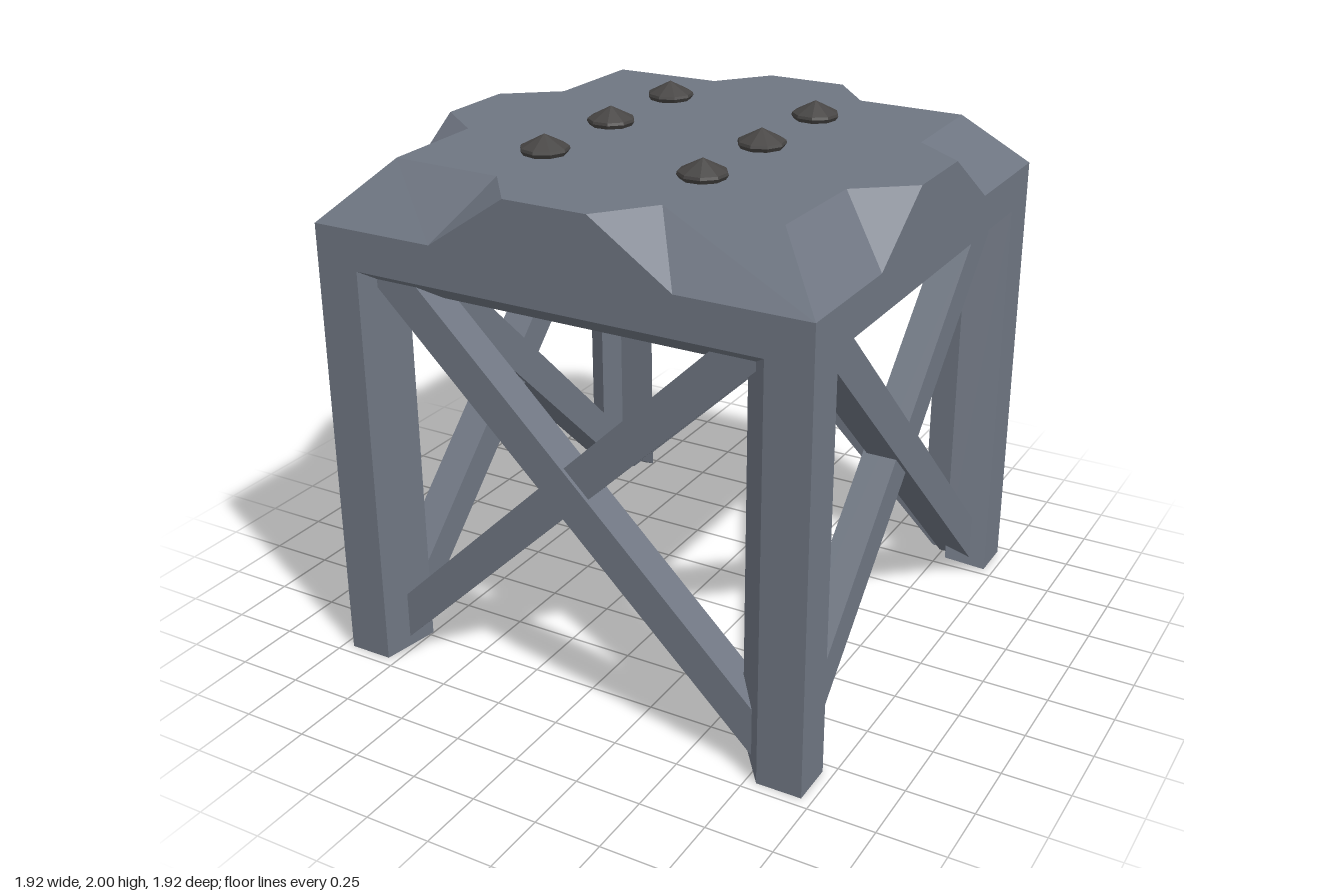
import * as THREE from 'three';

const bodyMat = new THREE.MeshStandardMaterial({ color: 0x6f7682, flatShading: true });
const boltMat = new THREE.MeshStandardMaterial({ color: 0x474544, flatShading: true });

// Outer and inner skins of the hollow frame
const OUTER = { half: 0.96, foot: 0, legX: 0.79, rail: 1.57, eave: 1.72, top: 1.93,
  notchOut: 0.47, notchIn: 0.16, crest: [0.32, 0.76], hip: 0.75, sign: 1 };
const INNER = { half: 0.83, foot: 0.08, legX: 0.67, rail: 1.48, eave: 1.59, top: 1.8,
  notchOut: 0.42, notchIn: 0.14, crest: [0.29, 0.66], hip: 0.65, sign: -1 };

// Adds a polygon as triangles that face along the hint direction
function addFace(out, pts, hint) {
  const v = pts.map(p => new THREE.Vector3(...p));
  const h = new THREE.Vector3(...hint);
  const flat = v.map(p => h.x ? new THREE.Vector2(p.y, p.z)
    : h.y ? new THREE.Vector2(p.x, p.z) : new THREE.Vector2(p.x, p.y));
  for (const [a, b, c] of THREE.ShapeUtils.triangulateShape(flat, [])) {
    const n = v[b].clone().sub(v[a]).cross(v[c].clone().sub(v[a]));
    const tri = n.dot(h) > 0 ? [a, b, c] : [a, c, b];
    for (const i of tri) out.push(v[i].x, v[i].y, v[i].z);
  }
}

function toGeometry(out) {
  const g = new THREE.BufferGeometry();
  g.setAttribute('position', new THREE.Float32BufferAttribute(out, 3));
  g.computeVertexNormals();
  return g;
}

// One side: legs, apron, chipped bevels and the sloped rim of the opening
function sideGeometry() {
  const out = [];
  for (const k of [OUTER, INNER]) {
    const halfOutline = [[k.legX, k.rail], [k.legX, k.foot], [k.half, k.foot],
      [k.half, k.eave], [k.notchOut, k.eave], [k.notchIn, k.top]];
    const outline = [...halfOutline, ...halfOutline.map(([x, y]) => [-x, y]).reverse()];
    addFace(out, outline.map(([x, y]) => [x, y, k.half]), [0, 0, k.sign]);
    for (const m of [1, -1]) {
      const crest = [m * k.crest[0], k.top, k.crest[1]];
      const low = [m * k.notchOut, k.eave, k.half];
      addFace(out, [low, [m * k.half, k.eave, k.half], [m * k.hip, k.top, k.hip], crest], [0, k.sign, 0]);
      addFace(out, [[m * k.notchIn, k.top, k.half], low, crest], [0, k.sign, 0]);
    }
  }
  const rim = (a, b, hint) => {
    const at = (k, [x, y]) => [x * k[0], k[1][y], k[1].half];
    const o = p => [p[0] * OUTER[p[1]], OUTER[p[2]], OUTER.half];
    const i = p => [p[0] * INNER[p[1]], INNER[p[2]], INNER.half];
    addFace(out, [o(a), o(b), i(b), i(a)], hint);
  };
  rim([-1, 'legX', 'rail'], [1, 'legX', 'rail'], [0, -1, 0]);
  for (const m of [1, -1]) {
    rim([m, 'legX', 'foot'], [m, 'legX', 'rail'], [-m, 0, 0]);
    rim([m, 'legX', 'foot'], [m, 'half', 'foot'], [0, -1, 0]);
  }
  return toGeometry(out);
}

// Flat notched plate, used for the table top and its underside
function plateGeometry(k) {
  const pts = [];
  const [cx, cz] = k.crest;
  let quarter = [[-k.notchIn, k.half], [k.notchIn, k.half], [cx, cz], [k.hip, k.hip], [cz, cx]];
  for (let i = 0; i < 4; i++) {
    pts.push(...quarter.map(([x, z]) => [x, k.top, z]));
    quarter = quarter.map(([x, z]) => [z, -x]);
  }
  const out = [];
  addFace(out, pts, [0, k.sign, 0]);
  return toGeometry(out);
}

// Diagonal brace running from upper left to lower right
function braceGeometry(mirror) {
  const pts = [[-0.77, 1.55], [-0.59, 1.55], [0.765, 0.23], [0.765, 0.07], [0.74, 0.07], [-0.77, 1.53]];
  const shape = new THREE.Shape(pts.map(([x, y]) => new THREE.Vector2(mirror * x, y)));
  return new THREE.ExtrudeGeometry(shape, { depth: 0.13, bevelEnabled: false });
}

export function createModel() {
  const model = new THREE.Group();
  const add = (parent, geo, mat, name) => {
    const mesh = new THREE.Mesh(geo, mat);
    mesh.name = name;
    parent.add(mesh);
    return mesh;
  };

  add(model, plateGeometry(OUTER), bodyMat, 'tableTop');
  add(model, plateGeometry(INNER), bodyMat, 'tableUnderside');

  // Four identical sides, each with crossed braces
  const sideGeo = sideGeometry();
  const braceA = braceGeometry(1), braceB = braceGeometry(-1);
  for (let i = 0; i < 4; i++) {
    const side = new THREE.Group();
    side.name = 'side';
    side.rotation.y = i * Math.PI / 2;
    add(side, sideGeo, bodyMat, 'legFrame');
    add(side, braceA, bodyMat, 'fallingBrace').position.z = 0.78;
    add(side, braceB, bodyMat, 'risingBrace').position.z = 0.765;
    model.add(side);
  }

  // Two rows of faceted bolts on the top
  const boltGeo = new THREE.LatheGeometry(
    [[0.08, 0], [0.09, 0.015], [0.087, 0.025], [0, 0.07]].map(p => new THREE.Vector2(...p)), 9);
  [[-0.335, 0.29]].flat().forEach((x, row) => [-0.43, 0.01, 0.45].forEach((z, i) => {
    const bolt = add(model, boltGeo, boltMat, 'bolt');
    bolt.position.set(x, 1.93, row ? z - 0.01 * (i === 2) : z);
    bolt.rotation.y = 0.4 * i + row;
  }));

  return model;
}
